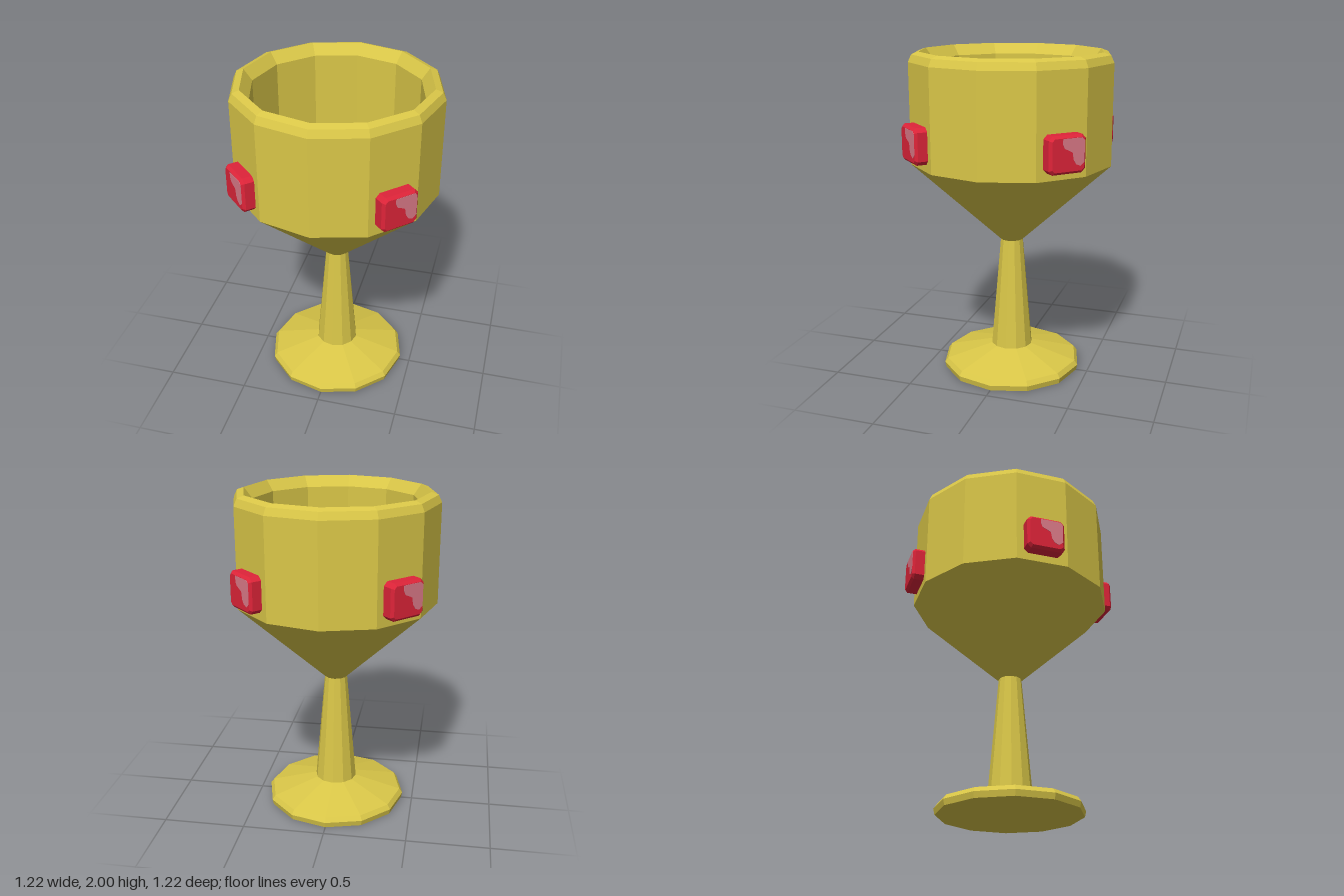
import * as THREE from 'three';

const SIDES = 12;
const gold = new THREE.MeshStandardMaterial({ color: 0xdac748 });
gold.name = 'gold';
const red = new THREE.MeshStandardMaterial({ color: 0xdf2439 });
red.name = 'gem red';
const pink = new THREE.MeshStandardMaterial({ color: 0xdc7a88 });
pink.name = 'gem highlight';

// Separate faces give every facet its own flat normal
function facet(geometry) {
  const flat = geometry.index ? geometry.toNonIndexed() : geometry;
  flat.computeVertexNormals();
  return flat;
}

function makeMesh(name, geometry, material) {
  const mesh = new THREE.Mesh(facet(geometry), material);
  mesh.name = name;
  return mesh;
}

const toPoints = (list) => list.map(([x, y]) => new THREE.Vector2(x, y));

function turned(name, profile) {
  return makeMesh(name, new THREE.LatheGeometry(toPoints(profile), SIDES), gold);
}

// Chamfered gem facing +z, with a glint in its upper corner
function makeGem() {
  const gem = new THREE.Group();
  const bevel = 0.015, w = 0.115 - bevel, h = 0.107 - bevel, c = 0.015;
  const outline = new THREE.Shape(toPoints([
    [-w + c, -h], [w - c, -h], [w, -h + c], [w, h - c],
    [w - c, h], [-w + c, h], [-w, h - c], [-w, -h + c],
  ]));
  const stone = new THREE.ExtrudeGeometry(outline, {
    depth: 0.09, bevelEnabled: true, bevelSize: bevel, bevelThickness: bevel, bevelSegments: 1,
  });
  stone.translate(0, 0, 0.665 - 0.09 - bevel);
  gem.add(makeMesh('gemStone', stone, red));

  const glint = new THREE.Shape(toPoints([
    [-0.035, 0.09], [-0.036, 0.06], [-0.025, 0.036], [0.0, 0.025], [0.025, 0.012],
    [0.032, -0.03], [0.048, -0.055], [0.075, -0.066], [0.1, -0.045],
    [0.1, 0.075], [0.085, 0.09],
  ]));
  const plate = new THREE.ExtrudeGeometry(glint, { depth: 0.004, bevelEnabled: false });
  plate.translate(0, 0, 0.663);
  gem.add(makeMesh('gemHighlight', plate, pink));
  return gem;
}

export function createModel() {
  const goblet = new THREE.Group();
  goblet.name = 'goblet';

  // Foot, stem and cup, all turned on the same axis
  goblet.add(turned('foot', [[0, 0], [0.43, 0], [0.438, 0.035], [0.418, 0.063], [0.13, 0.142]]));
  goblet.add(turned('stem', [[0.13, 0.142], [0.07, 0.842]]));
  goblet.add(turned('cup', [
    [0.07, 0.842], [0.612, 1.342], [0.612, 1.942], [0.592, 1.985], [0.55, 2.0],
    [0.5, 1.935], [0.5, 1.38], [0.18, 1.08], [0, 1.08],
  ]));

  // Four gems on the diagonal faces of the cup
  for (let i = 0; i < 4; i++) {
    const gem = makeGem();
    gem.name = 'gem' + (i + 1);
    gem.position.y = 1.495;
    gem.rotation.y = Math.PI / 4 + i * Math.PI / 2;
    goblet.add(gem);
  }
  return goblet;
}
